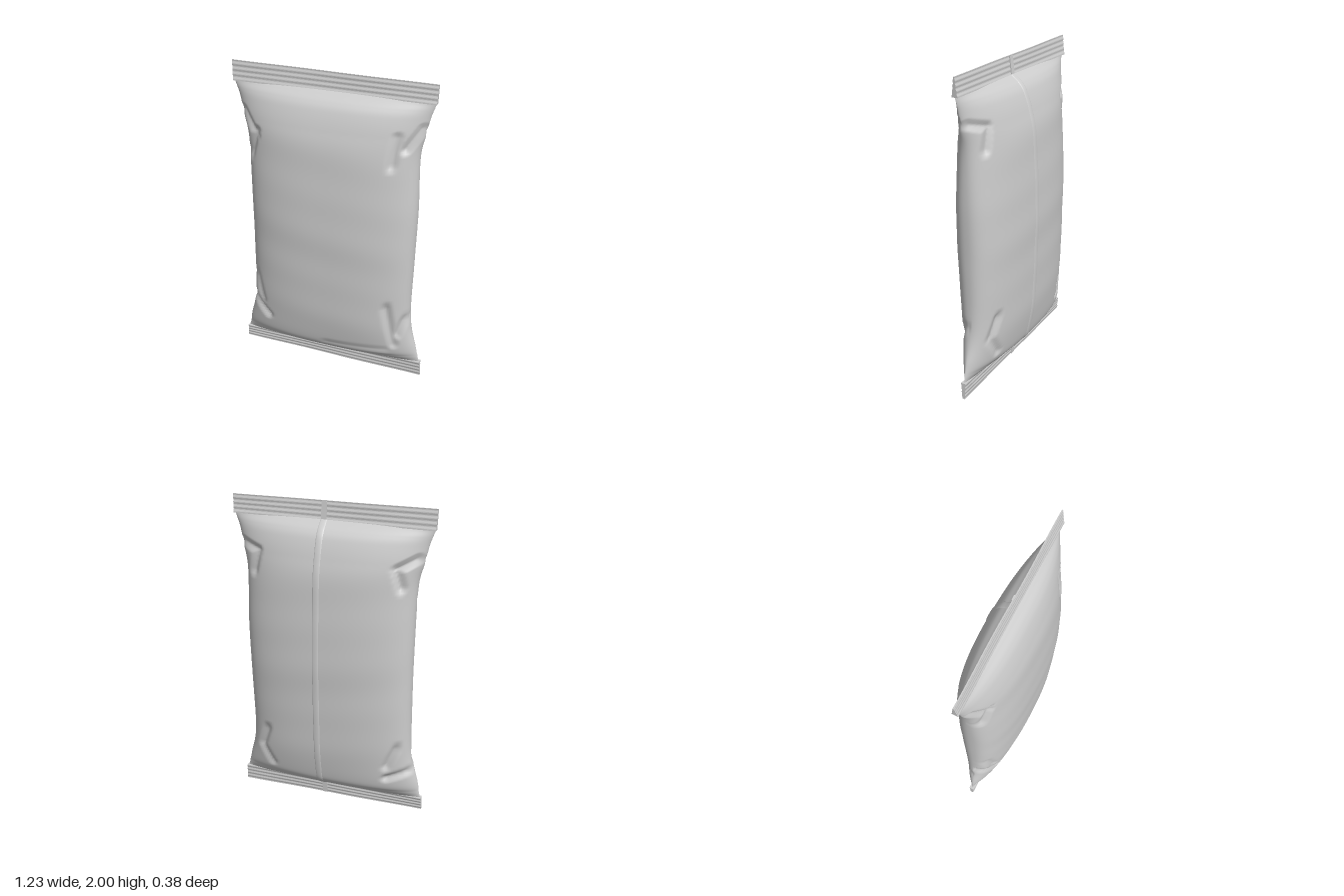
import * as THREE from 'three';

// Body stations from bottom to top: [y, left edge, right edge, half depth, section sharpness]
const stations = [
  [0.095, -0.608, 0.606, 0.012, 0.75], [0.115, -0.602, 0.600, 0.045, 0.72],
  [0.15, -0.593, 0.592, 0.088, 0.66], [0.22, -0.582, 0.576, 0.132, 0.6],
  [0.44, -0.532, 0.530, 0.166, 0.46], [0.85, -0.517, 0.532, 0.185, 0.42],
  [1.2, -0.516, 0.538, 0.185, 0.42], [1.54, -0.524, 0.533, 0.164, 0.47],
  [1.69, -0.556, 0.558, 0.138, 0.54], [1.79, -0.576, 0.578, 0.105, 0.62],
  [1.84, -0.592, 0.593, 0.074, 0.68], [1.872, -0.604, 0.604, 0.038, 0.73],
  [1.89, -0.61, 0.608, 0.016, 0.75],
];
const edges = new THREE.CatmullRomCurve3(
  stations.map(([y, l, r]) => new THREE.Vector3(l, y, r)), false, 'catmullrom', 0.5);
const depths = new THREE.CatmullRomCurve3(
  stations.map(([, , , d, q]) => new THREE.Vector3(d, q, 0)), false, 'catmullrom', 0.5);

// Sharp folds near the corners, as segments: [x1, y1, x2, y2, depth]
const frontFolds = [
  [-0.54, 1.72, -0.44, 1.59, 0.22], [-0.44, 1.62, -0.49, 1.46, 0.22],
  [0.42, 1.69, 0.40, 1.52, 0.16], [0.55, 1.74, 0.47, 1.62, 0.2],
  [-0.49, 0.6, -0.45, 0.42, 0.16], [-0.54, 0.42, -0.41, 0.31, 0.24],
  [0.40, 0.56, 0.45, 0.26, 0.18], [0.51, 0.46, 0.47, 0.34, 0.22],
  [0.0, 0.2, 0.4, 0.215, 0.06],
];
const backFolds = [
  [-0.53, 1.72, -0.42, 1.66, 0.22], [-0.42, 1.66, -0.45, 1.55, 0.2],
  [-0.46, 0.5, -0.40, 0.36, 0.2], [-0.53, 0.32, -0.40, 0.27, 0.24],
  [0.54, 1.72, 0.43, 1.69, 0.2], [0.43, 1.69, 0.46, 1.56, 0.18],
  [0.40, 0.50, 0.45, 0.36, 0.2], [0.45, 0.36, 0.38, 0.24, 0.16],
];
const foldRadius = 0.037;

function foldAmount(folds, x, y) {
  let most = 0;
  for (const [x1, y1, x2, y2, k] of folds) {
    const dx = x2 - x1, dy = y2 - y1;
    const s = THREE.MathUtils.clamp(((x - x1) * dx + (y - y1) * dy) / (dx * dx + dy * dy), 0, 1);
    const dist = Math.hypot(x - x1 - s * dx, y - y1 - s * dy);
    most = Math.max(most, k * (1 - dist / foldRadius));
  }
  return most;
}

// Point on the filled bag: v runs bottom to top, u across (-1..1), face is 1 front or -1 back
function bagPoint(v, u, face) {
  const e = edges.getPoint(v), d = depths.getPoint(v);
  const x = u < 0 ? -u * e.x : u * e.z;
  const y = e.y;
  const k = foldAmount(face > 0 ? frontFolds : backFolds, x, y);
  const bulge = Math.pow(Math.max(0, 1 - Math.pow(Math.abs(u), 2.4)), d.y);
  // faint horizontal sag in the film
  const sag = 1 + 0.012 * Math.sin(y * 17 + x * 3) * Math.sin(y * 5);
  return new THREE.Vector3(x * (1 - 0.12 * k), y, face * d.x * bulge * (1 - k) * sag);
}

function gridGeometry(rows, cols, wrap, pointAt) {
  const pos = [], idx = [];
  for (let i = 0; i <= rows; i++)
    for (let j = 0; j < cols; j++) pos.push(...pointAt(i, j).toArray());
  for (let i = 0; i < rows; i++)
    for (let j = 0; j < (wrap ? cols : cols - 1); j++) {
      const a = i * cols + j, b = i * cols + (j + 1) % cols;
      idx.push(a, a + cols, b, b, a + cols, b + cols);
    }
  const g = new THREE.BufferGeometry();
  g.setAttribute('position', new THREE.Float32BufferAttribute(pos, 3));
  g.setIndex(idx);
  g.computeVertexNormals();
  return g;
}

// Ribbed flat seal; its free edge leans slightly across the width
function sealGeometry(inner, outer, thickIn, thickOut, lean) {
  const n = 32, side = [];
  for (let i = 0; i <= n; i++) {
    const s = i / n;
    const t = THREE.MathUtils.lerp(thickIn, thickOut, Math.pow(s, 0.7)) + 0.0015 * Math.sin(s * Math.PI * 8);
    side.push(new THREE.Vector2(t, THREE.MathUtils.lerp(inner, outer, s)));
  }
  const shape = new THREE.Shape([...side, ...side.map(p => new THREE.Vector2(-p.x, p.y)).reverse()]);
  const g = new THREE.ExtrudeGeometry(shape, { depth: 1.22, steps: 24, bevelEnabled: false });
  g.translate(0, 0, -0.61);
  g.rotateY(Math.PI / 2);
  const p = g.attributes.position;
  for (let i = 0; i < p.count; i++) {
    const x = p.getX(i), y = p.getY(i), s = (y - inner) / (outer - inner);
    p.setXYZ(i, x * (1 + 0.008 * s), y + lean * x * s, p.getZ(i) + 0.002 * Math.sin(x * 9) * s);
  }
  g.computeVertexNormals();
  return g;
}

export function createModel() {
  const group = new THREE.Group();
  const film = new THREE.MeshStandardMaterial({ color: 0xcccccc, side: THREE.DoubleSide });
  film.name = 'greyFilm';
  const add = (name, geometry) => {
    const mesh = new THREE.Mesh(geometry, film);
    mesh.name = name;
    group.add(mesh);
    return mesh;
  };

  // Filled body
  const rows = 180, cols = 160;
  add('bagBody', gridGeometry(rows, cols, true, (i, j) => {
    const t = (j / cols) * Math.PI * 2;
    return bagPoint(i / rows, Math.cos(t), Math.sin(t) >= 0 ? 1 : -1);
  }));

  // Flat seals at both ends
  add('topSeal', sealGeometry(1.88, 1.995, 0.019, 0.004, -0.008));
  add('bottomSeal', sealGeometry(0.108, 0.011, 0.017, 0.009, -0.017));

  // Lapped seam down the back, with a raised middle
  const lift = [0, 0.005, 0.005, 0], across = [0.062, 0.056, 0.03, 0.022];
  add('backSeam', gridGeometry(90, 4, false, (i, j) => {
    const p = bagPoint(i / 90, across[j] / 0.55, -1);
    return p.setX(across[j]).setZ(p.z - lift[j]);
  }));
  for (const [name, y, h, z, tilt] of [
    ['topSeamEnd', 1.939, 0.106, -0.011, 0.12], ['bottomSeamEnd', 0.058, 0.09, -0.013, -0.06]]) {
    const end = add(name, new THREE.BoxGeometry(0.032, h, 0.008));
    end.position.set(0.043, y, z);
    end.rotation.x = tilt;
  }
  return group;
}
